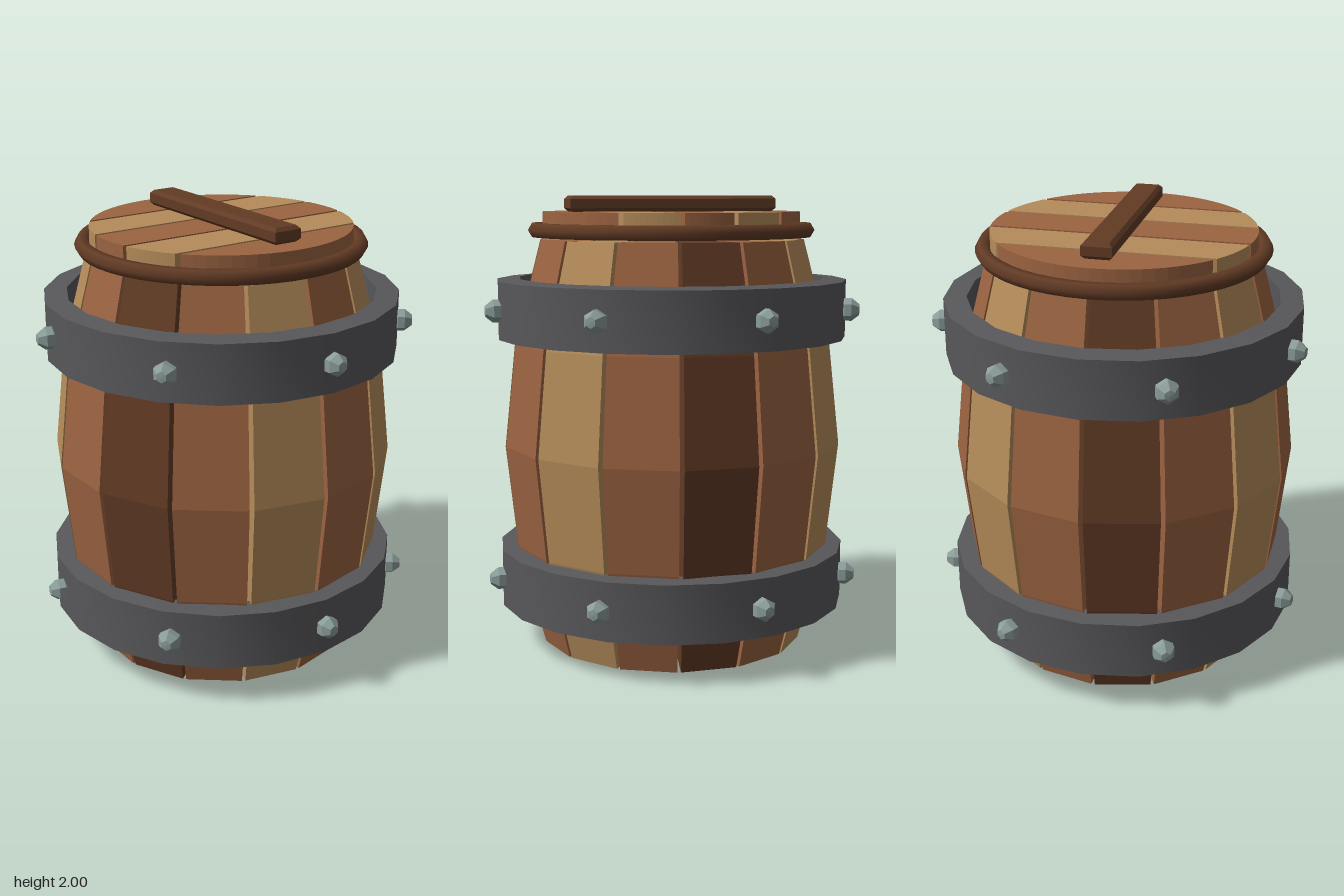
import * as THREE from 'three';
import { toCreasedNormals } from 'three/addons/utils/BufferGeometryUtils.js';
import { ConvexGeometry } from 'three/addons/geometries/ConvexGeometry.js';

const mat = (name, color, flatShading = false) => {
  const m = new THREE.MeshStandardMaterial({ color, flatShading });
  m.name = name;
  return m;
};

const STAVES = 14;
const RIVETS = 7;
const STAVE_TOP = 1.81;
const LID_RADIUS = 0.57;

// Solid pie-shaped stave, bulging towards the middle
function staveGeometry(a0, a1) {
  const pts = [new THREE.Vector3(0, 0, 0), new THREE.Vector3(0, STAVE_TOP, 0)];
  for (let i = 0; i <= 4; i++) {
    const y = (STAVE_TOP * i) / 4;
    const r = 0.59 + 0.168 * Math.sin((Math.PI * i) / 4);
    for (const a of [a0, a1]) pts.push(new THREE.Vector3(r * Math.cos(a), y, r * Math.sin(a)));
  }
  return new ConvexGeometry(pts);
}

// Lid plank: the slice of a disc between x0 and x1
function plankGeometry(x0, x1) {
  const a0 = Math.acos(x0 / LID_RADIUS), a1 = Math.acos(x1 / LID_RADIUS);
  const pts = [];
  const n = 10;
  for (let i = 0; i <= n; i++) {
    const a = a0 + ((a1 - a0) * i) / n;
    pts.push(new THREE.Vector2(Math.cos(a), Math.sin(a)).multiplyScalar(LID_RADIUS));
  }
  const shape = new THREE.Shape([...pts, ...pts.map(p => new THREE.Vector2(p.x, -p.y)).reverse()]);
  return new THREE.ExtrudeGeometry(shape, { depth: 0.1, bevelEnabled: false }).rotateX(-Math.PI / 2);
}

export function createModel() {
  const tan = mat('tanWood', 0xb58c5a);
  const sienna = mat('reddishWood', 0x9b6341);
  const dark = mat('darkWood', 0x623b25);
  const iron = mat('iron', 0x58585b);
  const steel = mat('rivetSteel', 0x8a9c98, true);

  const model = new THREE.Group();
  model.name = 'barrel';
  const body = new THREE.Group();
  body.name = 'barrelBody';
  body.position.x = -0.03;
  model.add(body);

  const add = (name, geometry, material, x = 0, y = 0, z = 0) => {
    const mesh = new THREE.Mesh(geometry, material);
    mesh.name = name;
    mesh.position.set(x, y, z);
    body.add(mesh);
    return mesh;
  };

  // Staves with narrow gaps between them
  const woods = [tan, sienna, dark, sienna];
  const step = (Math.PI * 2) / STAVES;
  const gap = 0.013;
  for (let k = 0; k < STAVES; k++) {
    add(`stave${k + 1}`, staveGeometry(k * step + gap, (k + 1) * step - gap), woods[k % 4]);
  }

  // Iron hoops and their rivets
  const hoopProfile = [[0.68, -0.135], [0.78, -0.127], [0.78, 0.127], [0.68, 0.135], [0.68, -0.135]]
    .map(p => new THREE.Vector2(...p));
  const hoop = toCreasedNormals(new THREE.LatheGeometry(hoopProfile, 20), 0.7);
  const rivetProfile = [[0.03, -0.045], [0.05, -0.015], [0.05, 0.015], [0.024, 0.048], [0, 0.05]]
    .map(p => new THREE.Vector2(...p));
  const rivet = new THREE.LatheGeometry(rivetProfile, 6, Math.PI / 2).rotateZ(-Math.PI / 2);
  for (const [name, y] of [['lower', 0.31], ['upper', 1.505]]) {
    add(`${name}Hoop`, hoop, iron, 0, y);
    for (let i = 0; i < RIVETS; i++) {
      const a = (i * Math.PI * 2) / RIVETS;
      const m = add(`${name}Rivet${i + 1}`, rivet, steel, 0.79 * Math.cos(a), y, 0.79 * Math.sin(a));
      m.rotation.y = -a;
    }
  }

  // Lid planks, rim and handle
  const pitch = 0.23;
  for (let i = 0; i < 5; i++) {
    const c = (i - 2) * pitch;
    const x0 = i === 0 ? -LID_RADIUS : c - pitch / 2 + 0.009;
    const x1 = i === 4 ? LID_RADIUS : c + pitch / 2 - 0.009;
    add(`lidPlank${i + 1}`, plankGeometry(x0, x1), i % 2 ? tan : sienna, 0, 1.83);
  }
  add('lidRim', new THREE.TorusGeometry(0.6, 0.035, 6, 48).rotateX(Math.PI / 2), dark, 0, 1.85);

  const bar = new THREE.Shape([[-0.455, -0.05], [0.455, -0.05], [0.455, 0.05], [-0.455, 0.05]]
    .map(p => new THREE.Vector2(...p)));
  const barGeometry = new THREE.ExtrudeGeometry(bar, {
    depth: 0.04, bevelThickness: 0.015, bevelSize: 0.015, bevelSegments: 1,
  }).rotateX(-Math.PI / 2);
  add('lidHandle', barGeometry, dark, 0, 1.945);

  return model;
}
